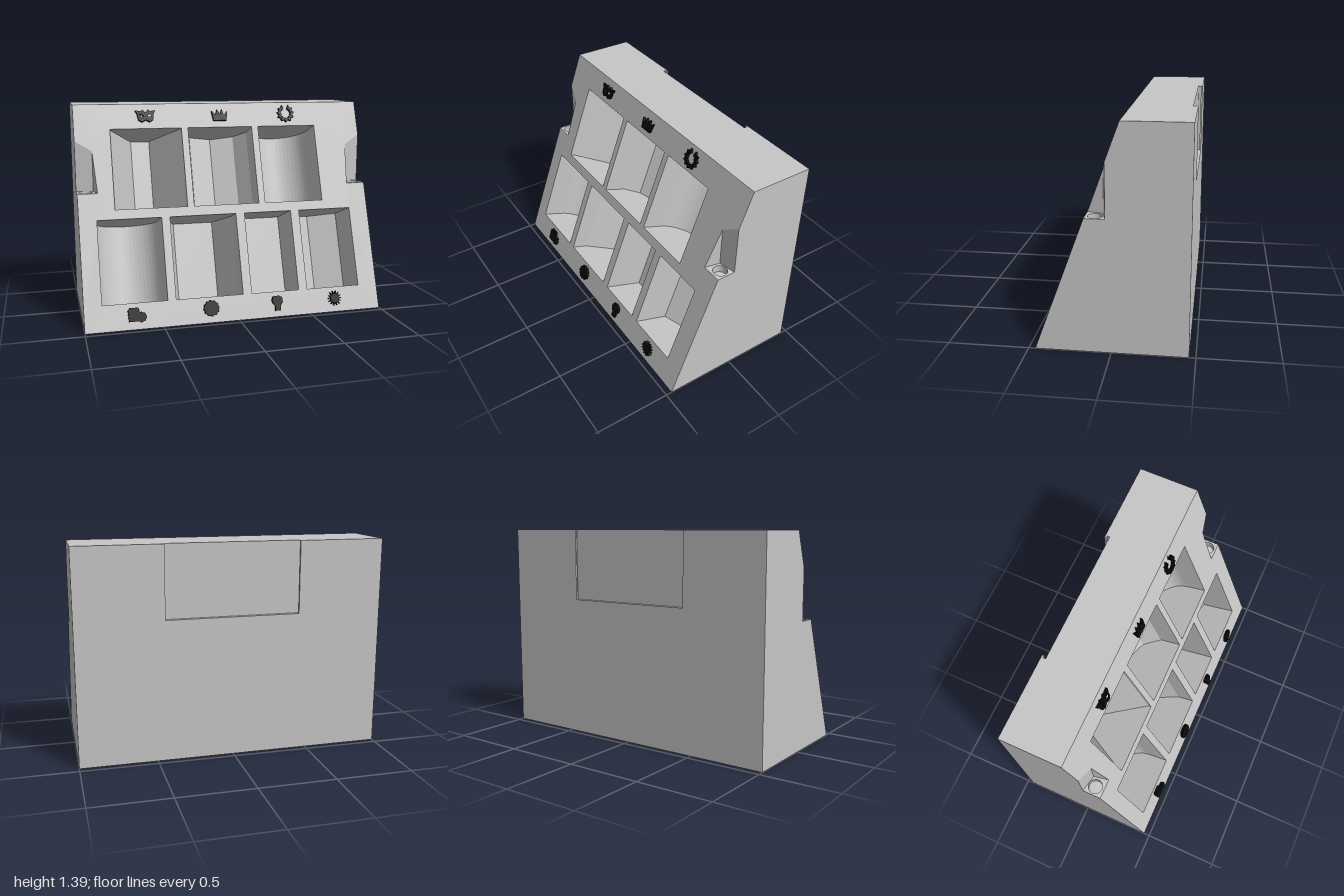
import * as THREE from 'three';

const H = 1.39, BACK = -0.46, FRONT = 0.46, T = 0.3705; // T: lean of the front
const K = Math.sqrt(1 + T * T);                          // height -> length along the front
const yOnFront = z => (FRONT - z) / T;

const grey = new THREE.MeshStandardMaterial({ color: 0xc6c6c6, side: THREE.DoubleSide });
grey.name = 'light grey';
const black = new THREE.MeshStandardMaterial({ color: 0x0a0a0a });
black.name = 'black';

const vecs = pts => pts.map(p => new THREE.Vector2(p[0], p[1]));

function mesh(parent, name, geometry, material = grey) {
  const m = new THREE.Mesh(geometry, material);
  m.name = name;
  parent.add(m);
  return m;
}

// flat polygon (with holes) placed in space by map(a, b) -> [x, y, z]
function sheet(parent, name, pts, map, holes = []) {
  const shape = new THREE.Shape(vecs(pts));
  holes.forEach(h => shape.holes.push(new THREE.Path(vecs(h))));
  const g = new THREE.ShapeGeometry(shape).toNonIndexed();
  const p = g.attributes.position;
  for (let i = 0; i < p.count; i++) p.setXYZ(i, ...map(p.getX(i), p.getY(i)));
  g.computeVertexNormals();
  return mesh(parent, name, g);
}

// wall following a line between two mapped copies of it
function strip(parent, name, line, mapA, mapB) {
  const v = [];
  for (let i = 0; i + 1 < line.length; i++) {
    const a = mapA(...line[i]), b = mapA(...line[i + 1]);
    const c = mapB(...line[i + 1]), d = mapB(...line[i]);
    v.push(...a, ...b, ...c, ...a, ...c, ...d);
  }
  const g = new THREE.BufferGeometry();
  g.setAttribute('position', new THREE.Float32BufferAttribute(v, 3));
  g.computeVertexNormals();
  return mesh(parent, name, g);
}

// closed outline from a radius rule
function polar(n, radius, cx = 0, cy = 0) {
  return Array.from({ length: n }, (_, i) => {
    const a = i / n * Math.PI * 2, r = radius(i);
    return [cx + r * Math.cos(a), cy + r * Math.sin(a)];
  });
}

// half-round pocket section: [x, depth]
function roundSection(x0, x1, d) {
  const c = (x0 + x1) / 2, r = (x1 - x0) / 2, pts = [[x0, 0]];
  for (let i = 0; i <= 24; i++) {
    const a = Math.PI * (1 - i / 24);
    pts.push([c + r * Math.cos(a), d + r * Math.sin(a)]);
  }
  return [...pts, [x1, 0]];
}

const topRow = [
  [[-0.765, 0], [-0.765, 0.02], [-0.59, 0.346], [-0.46, 0.346], [-0.285, 0.02], [-0.285, 0]],
  [[-0.24, 0], [-0.24, 0.16], [-0.18, 0.265], [-0.015, 0.335], [0.14, 0.265], [0.21, 0.15], [0.21, 0]],
  roundSection(0.255, 0.67, 0.145),
];
const bottomRow = [
  roundSection(-0.885, -0.465, 0.15),
  [[-0.41, 0], [-0.41, 0.12], [-0.325, 0.37], [-0.045, 0.37], [0.04, 0.12], [0.04, 0]],
  [[0.1, 0], [0.1, 0.285], [0.43, 0.285], [0.43, 0]],
  [[0.49, 0], [0.49, 0.25], [0.677, 0.345], [0.865, 0.25], [0.865, 0]],
];

// raised symbols, each a list of outlines with optional holes
function symbols() {
  const wreath = [];
  for (let i = 0; i <= 20; i++) {
    const a = Math.PI * (0.62 + 1.76 * i / 20), r = i % 2 ? 0.05 : 0.063;
    wreath.push([r * Math.cos(a), r * Math.sin(a)]);
  }
  for (let i = 20; i >= 0; i--) {
    const a = Math.PI * (0.62 + 1.76 * i / 20), r = i % 2 ? 0.032 : 0.037;
    wreath.push([r * Math.cos(a), r * Math.sin(a)]);
  }
  const half = [[0, 0.022], [0.02, 0.042], [0.03, 0.03], [0.068, 0.036], [0.055, 0.008],
    [0.05, -0.028], [0.026, -0.044], [0, -0.03]];
  const mask = [...half, ...half.slice(1, -1).reverse().map(([x, y]) => [-x, y])];
  const eye = s => [[0.012 * s, -0.005], [0.025 * s, 0.008], [0.042 * s, 0.006], [0.03 * s, -0.01]];
  return [
    ['maskSymbol', -0.525, 1.31, [mask], [eye(1), eye(-1)]],
    ['crownSymbol', -0.015, 1.308, [[[-0.045, -0.04], [0.045, -0.04], [0.056, 0.028], [0.028, 0],
      [0.017, 0.038], [0, 0.004], [-0.017, 0.038], [-0.028, 0], [-0.056, 0.028]]]],
    ['wreathSymbol', 0.463, 1.312, [wreath]],
    ['mugSymbol', -0.67, 0.085, [
      [[-0.052, -0.04], [0.016, -0.04], [0.016, 0.032], [0.008, 0.047], [-0.045, 0.047], [-0.058, 0.03]],
      polar(16, i => i % 2 ? 0.03 : 0.034, 0.028, -0.014)]],
    ['coinSymbol', -0.185, 0.087, [polar(48, i => i % 4 < 2 ? 0.053 : 0.048)]],
    ['fistSymbol', 0.267, 0.085, [[[-0.018, -0.05], [0.018, -0.05], [0.02, -0.02], [0.036, 0.005],
      [0.034, 0.036], [0.01, 0.049], [-0.028, 0.044], [-0.038, 0.02], [-0.03, -0.002], [-0.016, -0.018]]]],
    ['starSymbol', 0.677, 0.085, [polar(28, i => i % 2 ? 0.027 : 0.05)]],
  ];
}

export function createModel() {
  const root = new THREE.Group();
  root.name = 'displayStand';

  // side walls with the notch cut out
  const side = [[BACK, 0], [FRONT, 0], [FRONT - T * 0.83, 0.83], [0.03, 0.83],
    [0.03, yOnFront(0.03)], [FRONT - T * H, H], [BACK, H]];
  for (const s of [-1, 1]) sheet(root, s > 0 ? 'leftSide' : 'rightSide', side, (z, y) => [s, y, z]);

  // base, top and back, with the slot for a hanging plate
  const slotY = 0.92, slotZ = -0.43, lip = -0.448;
  const slot = [[-0.437, BACK], [-0.437, lip], [-0.452, lip], [-0.452, slotZ],
    [0.452, slotZ], [0.452, lip], [0.437, lip], [0.437, BACK]];
  sheet(root, 'base', [[-1, BACK], [1, BACK], [1, FRONT], [-1, FRONT]], (x, z) => [x, 0, z]);
  sheet(root, 'top', [[-1, BACK], ...slot, [1, BACK], [1, FRONT - T * H], [-1, FRONT - T * H]],
    (x, z) => [x, H, z]);
  sheet(root, 'back', [[-1, 0], [1, 0], [1, H], [0.437, H], [0.437, slotY], [-0.437, slotY],
    [-0.437, H], [-1, H]], (x, y) => [x, y, BACK]);
  sheet(root, 'slotFloor', slot, (x, z) => [x, slotY, z]);
  strip(root, 'slotWalls', slot, (x, z) => [x, slotY, z], (x, z) => [x, H, z]);

  // side notches with a round socket in each ledge
  const notch = [[0.87, FRONT - T * 0.83], [0.89, 0.055], [1, 0.03]];
  for (const s of [-1, 1]) {
    const g = new THREE.Group();
    g.name = s > 0 ? 'leftNotch' : 'rightNotch';
    root.add(g);
    strip(g, 'notchWalls', notch, (x, z) => [s * x, 0.83, z], (x, z) => [s * x, yOnFront(z), z]);
    sheet(g, 'notchLedge', [...notch, [1, FRONT - T * 0.83]], (x, z) => [s * x, 0.83, z],
      [polar(32, () => 0.045, 0.943, 0.093)]);
    mesh(g, 'socketWall', new THREE.CylinderGeometry(0.045, 0.045, 0.05, 32, 1, true))
      .position.set(s * 0.943, 0.805, 0.093);
    const floor = mesh(g, 'socketFloor', new THREE.CircleGeometry(0.045, 32));
    floor.rotation.x = -Math.PI / 2;
    floor.position.set(s * 0.943, 0.78, 0.093);
  }

  // leaning front: local y runs up the face, local z points out of it
  const front = new THREE.Group();
  front.name = 'leaningFront';
  front.rotation.x = -Math.atan(T);
  front.position.z = FRONT;
  root.add(front);

  const edge = [[1, 0], ...notch.map(([x, z]) => [x, yOnFront(z) * K]), [1, H * K]];
  const holes = [];
  const addRow = (row, y0, y1) => row.forEach(section => {
    const x0 = section[0][0], x1 = section[section.length - 1][0], a = y0 * K, b = y1 * K;
    holes.push([[x0, a], [x1, a], [x1, b], [x0, b]]);
    const low = (x, d) => [x, a, -d], high = (x, d) => [x, b, -d];
    strip(front, 'pocketWalls', section, low, high);
    sheet(front, 'pocketFloor', section, low);
    sheet(front, 'pocketCeiling', section, high);
  });
  addRow(topRow, 0.725, 1.23);
  addRow(bottomRow, 0.157, 0.665);
  edge.splice(1, 0, [1, 0.83 * K]);
  sheet(front, 'frontFace', [...edge, ...edge.map(([x, y]) => [-x, y]).reverse()],
    (x, y) => [x, y, 0], holes);

  // raised symbols
  for (const [name, x, y, outlines, cuts = []] of symbols()) {
    const shapes = outlines.map(o => new THREE.Shape(vecs(o)));
    cuts.forEach(c => shapes[0].holes.push(new THREE.Path(vecs(c))));
    const g = new THREE.ExtrudeGeometry(shapes, { depth: 0.018, bevelEnabled: false });
    mesh(front, name, g, black).position.set(x, y * K, 0);
  }
  return root;
}
